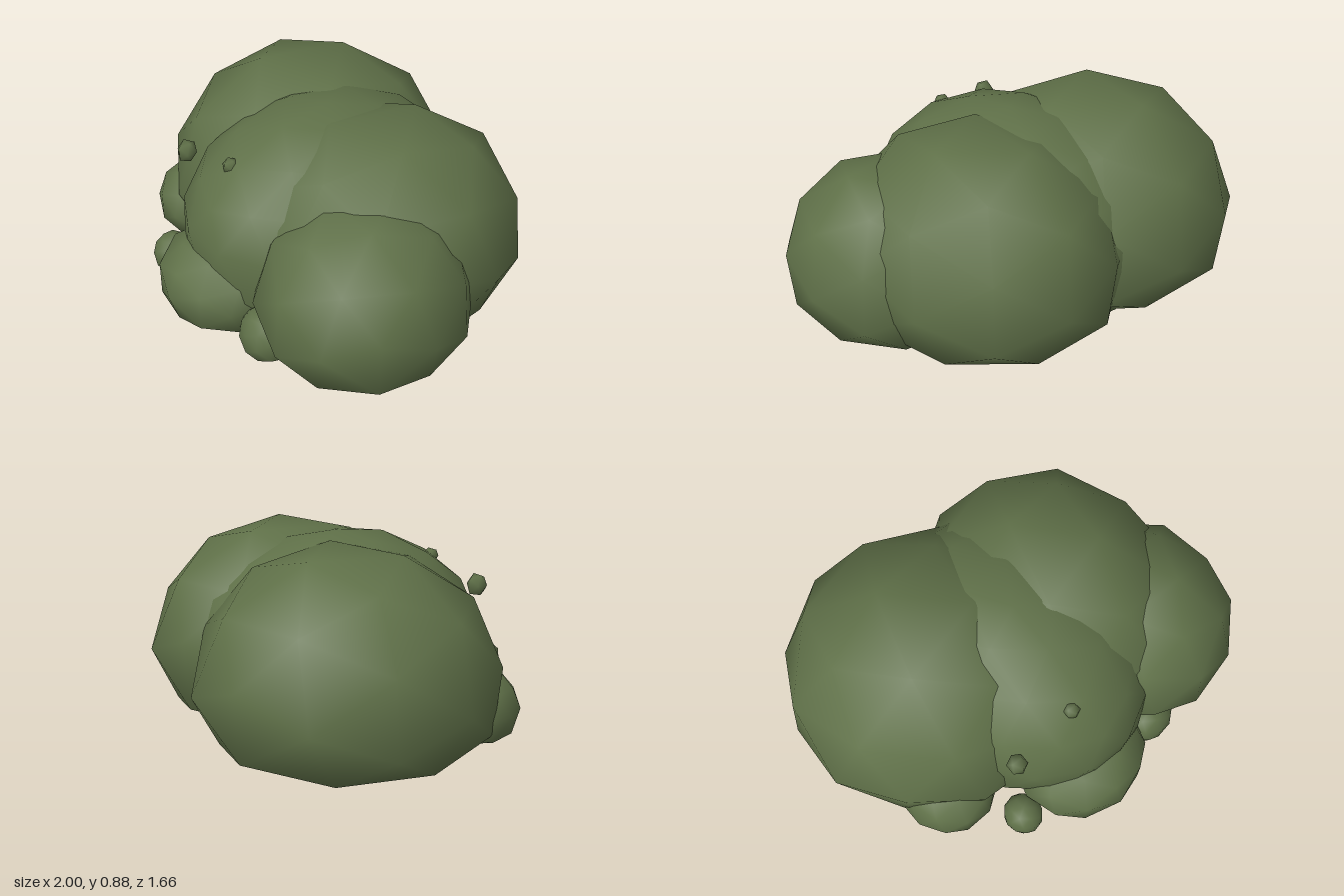
import * as THREE from 'three';
import { mergeVertices } from 'three/addons/utils/BufferGeometryUtils.js';

const leafGreen = new THREE.MeshStandardMaterial({ color: 0x5f7048 });
leafGreen.name = 'leaf green';

const FACE_UP = -0.365; // tilt that puts a flat face of the icosahedron on top
const POINT_UP = -1.017; // tilt that puts a corner on top

// Smooth low-poly blob filling the given bounds; its widest level is midY,
// and the part below that curves in to a flattened base.
function blob(name, [x0, x1], [y0, y1], [z0, z1], midY, detail, tilt = 0, turn = 0) {
  let g = new THREE.IcosahedronGeometry(1, detail);
  g.deleteAttribute('normal');
  g.deleteAttribute('uv');
  g = mergeVertices(g, 1e-4);
  g.rotateX(tilt);
  g.rotateY(turn);
  g.computeBoundingBox();
  const { min, max } = g.boundingBox;
  const p = g.attributes.position;
  const fit = (v, a, b, lo, hi) => lo + ((v - a) / (b - a)) * (hi - lo);
  for (let i = 0; i < p.count; i++) {
    const y = p.getY(i);
    const drop = Math.tanh((2 * y) / min.y) / Math.tanh(2);
    p.setXYZ(
      i,
      fit(p.getX(i), min.x, max.x, x0, x1),
      y >= 0 ? midY + (y / max.y) * (y1 - midY) : midY - drop * (midY - y0),
      fit(p.getZ(i), min.z, max.z, z0, z1)
    );
  }
  g.computeVertexNormals();
  const mesh = new THREE.Mesh(g, leafGreen);
  mesh.name = name;
  return mesh;
}

export function createModel() {
  const bush = new THREE.Group();
  bush.name = 'bush';
  bush.add(
    // main mounds
    blob('centreMound', [-0.56, 0.56], [0.0, 0.88], [-0.68, 0.68], 0.34, 2, POINT_UP),
    blob('backRightMound', [-1.0, 0.3], [0.02, 0.865], [-0.83, 0.46], 0.3, 1, FACE_UP, 0.25),
    blob('backLeftMound', [-0.3, 0.865], [0.02, 0.865], [-0.72, 0.56], 0.33, 1, FACE_UP, 0.25),
    blob('frontLeftMound', [0.08, 1.0], [0.02, 0.715], [-0.25, 0.69], 0.29, 1, FACE_UP),
    // lower clumps around the front
    blob('frontClump', [-0.36, 0.27], [0.02, 0.39], [0.25, 0.83], 0.18, 1),
    blob('rightClump', [-0.82, -0.38], [0.05, 0.38], [0.05, 0.49], 0.18, 1, 0, 0.3),
    blob('smallRightClump', [-0.5, -0.32], [0.02, 0.2], [0.49, 0.67], 0.1, 1, 0, 0.5),
    blob('smallLeftClump', [0.2, 0.46], [0.02, 0.24], [0.49, 0.69], 0.1, 1, 0, 0.5),
    // clump under the base
    blob('baseClump', [-0.44, -0.22], [0.008, 0.14], [-0.49, -0.27], 0.07, 1),
    // tiny leaf buds
    blob('rightBud', [-0.415, -0.335], [0.595, 0.685], [0.45, 0.53], 0.64, 0),
    blob('topBud', [-0.095, -0.03], [0.685, 0.745], [0.435, 0.5], 0.715, 0)
  );
  return bush;
}
